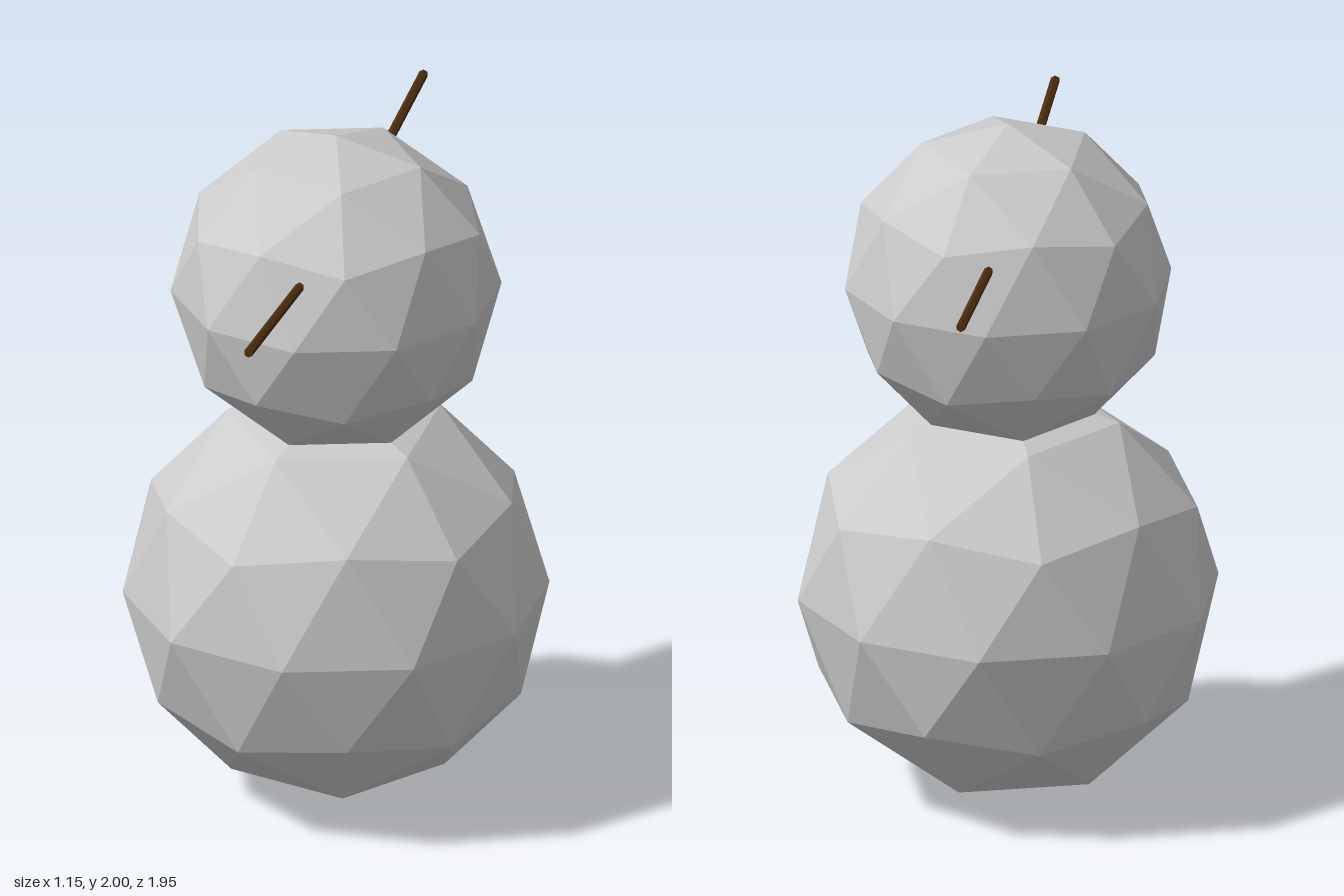
import * as THREE from 'three';

const grey = new THREE.MeshStandardMaterial({ color: 0xcccccc, flatShading: true });
const brown = new THREE.MeshStandardMaterial({ color: 0x4d2d0f, flatShading: true });

// Faceted ball standing on one of its icosahedron corners
function ball(name, radius, y, turn) {
  const geometry = new THREE.IcosahedronGeometry(radius, 1);
  geometry.rotateZ(Math.atan(2 / (1 + Math.sqrt(5))));
  geometry.rotateY(turn);
  const mesh = new THREE.Mesh(geometry, grey);
  mesh.name = name;
  mesh.position.y = y;
  return mesh;
}

// Thin stick running outwards along z and slightly upwards
function stick(name, side) {
  const start = new THREE.Vector3(0, 1.703, 0.32 * side);
  const end = new THREE.Vector3(0, 1.759, 0.974 * side);
  const direction = end.clone().sub(start);
  const geometry = new THREE.CylinderGeometry(0.0135, 0.0135, direction.length(), 6);
  const mesh = new THREE.Mesh(geometry, brown);
  mesh.name = name;
  mesh.position.copy(start).add(end).multiplyScalar(0.5);
  mesh.quaternion.setFromUnitVectors(new THREE.Vector3(0, 1, 0), direction.normalize());
  return mesh;
}

export function createModel() {
  const model = new THREE.Group();
  model.name = 'snowFigure';

  // Two stacked snowballs, turned opposite ways
  model.add(ball('body', 0.602, 0.603, 0));
  model.add(ball('head', 0.467, 1.533, Math.PI));

  // Sticks at the front and back of the upper ball
  model.add(stick('frontStick', 1), stick('backStick', -1));
  return model;
}
